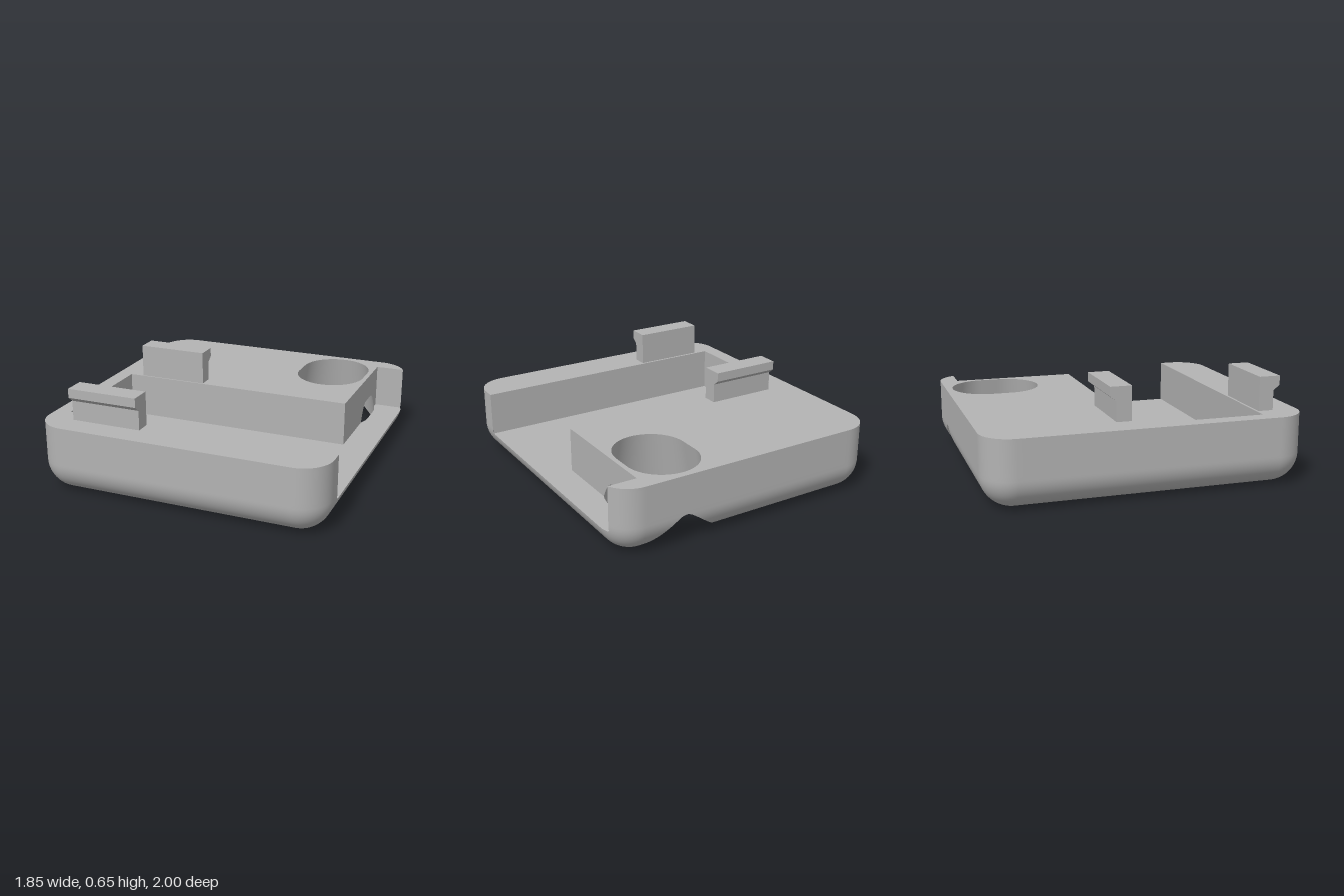
import * as THREE from 'three';
import { mergeGeometries } from 'three/addons/utils/BufferGeometryUtils.js';

const HX = 0.735, HZ = 0.81, R = 0.19;      // half extents of the corner centres, edge radius
const TOP = 0.44, FLOOR = 0.155;            // deck height and pocket floor height
const HOLE = { x: 0.465, z0: -0.725, z1: -0.6 };
const holeRadius = (y) => 0.31 - 0.08 * y / TOP;

// Signed rules: positive means the point is kept
const insideHull = ([x, y, z]) => R - Math.hypot(
  Math.max(Math.abs(x) - HX, 0), Math.max(Math.abs(z) - HZ, 0), Math.max(R - y, 0));
const outsideHole = ([x, y, z]) => Math.hypot(
  x - HOLE.x, z - Math.min(Math.max(z, HOLE.z0), HOLE.z1)) - holeRadius(y);
const outsideSlot = ([x, y, z]) => Math.max(0.725 - x, FLOOR - y, -0.885 - z, z - 0.73);

// Smooth grid surface from point(i, j); the normal is du x dv
function grid(nu, nv, point, closed = false) {
  const pos = [], index = [], cols = closed ? nu : nu + 1;
  for (let j = 0; j <= nv; j++) for (let i = 0; i < cols; i++) pos.push(...point(i, j));
  for (let j = 0; j < nv; j++) for (let i = 0; i < nu; i++) {
    const a = j * cols + i, b = j * cols + (i + 1) % cols;
    index.push(a, b, a + cols, b, b + cols, a + cols);
  }
  const g = new THREE.BufferGeometry();
  g.setAttribute('position', new THREE.Float32BufferAttribute(pos, 3));
  g.setIndex(index);
  g.computeVertexNormals();
  return g.toNonIndexed();
}

// Trim a surface along the zero line of a rule
function clip(geometry, rule) {
  const p = geometry.attributes.position.array, n = geometry.attributes.normal.array;
  const pos = [], nor = [];
  const keep = (v) => rule(v) > -1e-5;
  const mix = (a, b, t) => a.map((q, k) => q + (b[k] - q) * t);
  const cross = (a, b) => {                 // a is kept, b is not
    let lo = 0, hi = 1;
    for (let k = 0; k < 24; k++) {
      const m = (lo + hi) / 2;
      if (keep(mix(a, b, m))) lo = m; else hi = m;
    }
    return mix(a, b, lo);
  };
  for (let t = 0; t < p.length; t += 9) {
    const v = [0, 3, 6].map((k) => [...p.slice(t + k, t + k + 3), ...n.slice(t + k, t + k + 3)]);
    const poly = [];
    v.forEach((a, k) => {
      const b = v[(k + 1) % 3], ka = keep(a), kb = keep(b);
      if (ka) poly.push(a);
      if (ka && !kb) poly.push(cross(a, b));
      if (!ka && kb) poly.push(cross(b, a));
    });
    for (let k = 1; k + 1 < poly.length; k++) {
      for (const q of [poly[0], poly[k], poly[k + 1]]) {
        pos.push(...q.slice(0, 3));
        nor.push(...q.slice(3));
      }
    }
  }
  const g = new THREE.BufferGeometry();
  g.setAttribute('position', new THREE.Float32BufferAttribute(pos, 3));
  g.setAttribute('normal', new THREE.Float32BufferAttribute(nor, 3));
  return g;
}

// Rounded outline as corner centre plus direction: [cx, cz, nx, nz]
function outline(hx, hz, arc, straight) {
  const pts = [], corners = [[hx, hz], [-hx, hz], [-hx, -hz], [hx, -hz]];
  corners.forEach(([x, z], c) => {
    const [x2, z2] = corners[(c + 1) % 4];
    const run = Math.hypot(x2 - x, z2 - z);
    for (let k = 0; k <= arc; k++) {
      if (k === arc && run === 0) break;
      const a = (c + k / arc) * Math.PI / 2;
      pts.push([x, z, Math.cos(a), Math.sin(a)]);
    }
    const a = (c + 1) * Math.PI / 2;
    for (let k = 1; run > 0 && k < straight; k++) {
      const t = k / straight;
      pts.push([x + (x2 - x) * t, z + (z2 - z) * t, Math.cos(a), Math.sin(a)]);
    }
  });
  return pts;
}

const patch = (o, u, v, n = 1) =>
  grid(n, n, (i, j) => o.map((q, k) => q + (u[k] * i + v[k] * j) / n));

// Rounded tray side, from the deck down round the bottom edge
function outerShell() {
  const ring = outline(HX, HZ, 14, 48);
  const a0 = Math.asin((R - FLOOR) / R), levels = [];
  for (let k = 0; k < 8; k++) levels.push([TOP + (R - TOP) * k / 8, R]);
  const angles = [0, a0 / 2];
  for (let k = 0; k <= 16; k++) angles.push(a0 + (Math.PI / 2 - a0) * k / 16);
  for (const a of angles) levels.push([R - R * Math.sin(a), R * Math.cos(a)]);
  const g = grid(ring.length, levels.length - 1, (i, j) => {
    const [cx, cz, nx, nz] = ring[i], [y, r] = levels[j];
    return [cx + nx * r, y, cz + nz * r];
  }, true);
  return clip(clip(g, outsideSlot), outsideHole);
}

// Flared oblong hole that breaks through the back edge and the slot
function holeWall() {
  const ring = outline(0, (HOLE.z1 - HOLE.z0) / 2, 24, 8);
  const levels = [];
  for (let k = 0; k <= 12; k++) levels.push(FLOOR * k / 12);
  for (let k = 1; k <= 20; k++) levels.push(FLOOR + (TOP - FLOOR) * k / 20);
  const g = grid(ring.length, levels.length - 1, (i, j) => {
    const [cx, cz, nx, nz] = ring[i], y = levels[j], r = holeRadius(y);
    return [HOLE.x + cx + nx * r, y, (HOLE.z0 + HOLE.z1) / 2 + cz + nz * r];
  }, true);
  return clip(clip(g, insideHull), outsideSlot);
}

// Top face around the pocket; shape y is -z
function deck() {
  const s = new THREE.Shape();
  s.moveTo(0.925, -0.73);
  for (const [x, y] of [[-0.825, -0.73], [-0.825, 0.07], [0.725, 0.07], [0.725, 0.885]]) s.lineTo(x, y);
  s.absarc(HX, HZ, R, Math.asin((0.885 - HZ) / R), Math.PI / 2);
  s.absarc(-HX, HZ, R, Math.PI / 2, Math.PI);
  s.absarc(-HX, -HZ, R, Math.PI, Math.PI * 1.5);
  s.absarc(HX, -HZ, R, Math.PI * 1.5, Math.PI * 2);
  const h = new THREE.Path();
  h.absarc(HOLE.x, -HOLE.z0, 0.23, 0, Math.PI);
  h.absarc(HOLE.x, -HOLE.z1, 0.23, Math.PI, Math.PI * 2);
  s.holes.push(h);
  return new THREE.ShapeGeometry(s, 24).rotateX(-Math.PI / 2).translate(0, TOP, 0);
}

function pocketFloor() {
  return mergeGeometries([
    clip(patch([-0.825, FLOOR, 0.73], [1.75, 0, 0], [0, 0, -0.8]), insideHull),
    clip(clip(patch([0.725, FLOOR, -0.07], [0.2, 0, 0], [0, 0, -0.815], 40), insideHull), outsideHole),
  ].map(bare));
}

function pocketWalls() {
  const up = [0, TOP - FLOOR, 0];
  return mergeGeometries([
    clip(patch([0.925, FLOOR, 0.73], [-1.75, 0, 0], up, 8), insideHull),
    patch([-0.825, FLOOR, 0.73], [0, 0, -0.8], up),
    patch([-0.825, FLOOR, -0.07], [1.55, 0, 0], up),
    clip(patch([0.725, FLOOR, -0.07], [0, 0, -0.815], up, 48), outsideHole),
    clip(patch([0.725, FLOOR, -0.885], [0.2, 0, 0], up, 8), insideHull),
  ].map(bare));
}

const bare = (g) => (g.index ? g.toNonIndexed() : g);

// Hooked clip; z is its inner face, dir the way the hook points
function hook(z, dir) {
  const profile = [[0, TOP - 0.005], [0.095, TOP - 0.005], [0.095, 0.565], [0.135, 0.597], [0.135, 0.655], [0, 0.655]];
  const s = new THREE.Shape(profile.map(([d, y]) => new THREE.Vector2(z + dir * d, y)));
  return new THREE.ExtrudeGeometry(s, { depth: 0.455, bevelEnabled: false })
    .rotateY(-Math.PI / 2).translate(-0.282, 0, 0);
}

export function createModel() {
  const grey = new THREE.MeshStandardMaterial({ color: 0xb3b3b3 });
  grey.name = 'plain grey';
  const group = new THREE.Group();
  group.name = 'tray';
  const parts = {
    outerShell: outerShell(),
    bottom: clip(patch([-HX, 0, -HZ], [2 * HX, 0, 0], [0, 0, 2 * HZ], 60), outsideHole),
    deck: deck(),
    pocketFloor: pocketFloor(),
    pocketWalls: pocketWalls(),
    holeWall: holeWall(),
    frontClip: hook(0.745, 1),
    backClip: hook(-0.08, -1),
  };
  for (const [name, geometry] of Object.entries(parts)) {
    const mesh = new THREE.Mesh(geometry, grey);
    mesh.name = name;
    group.add(mesh);
  }
  return group;
}
